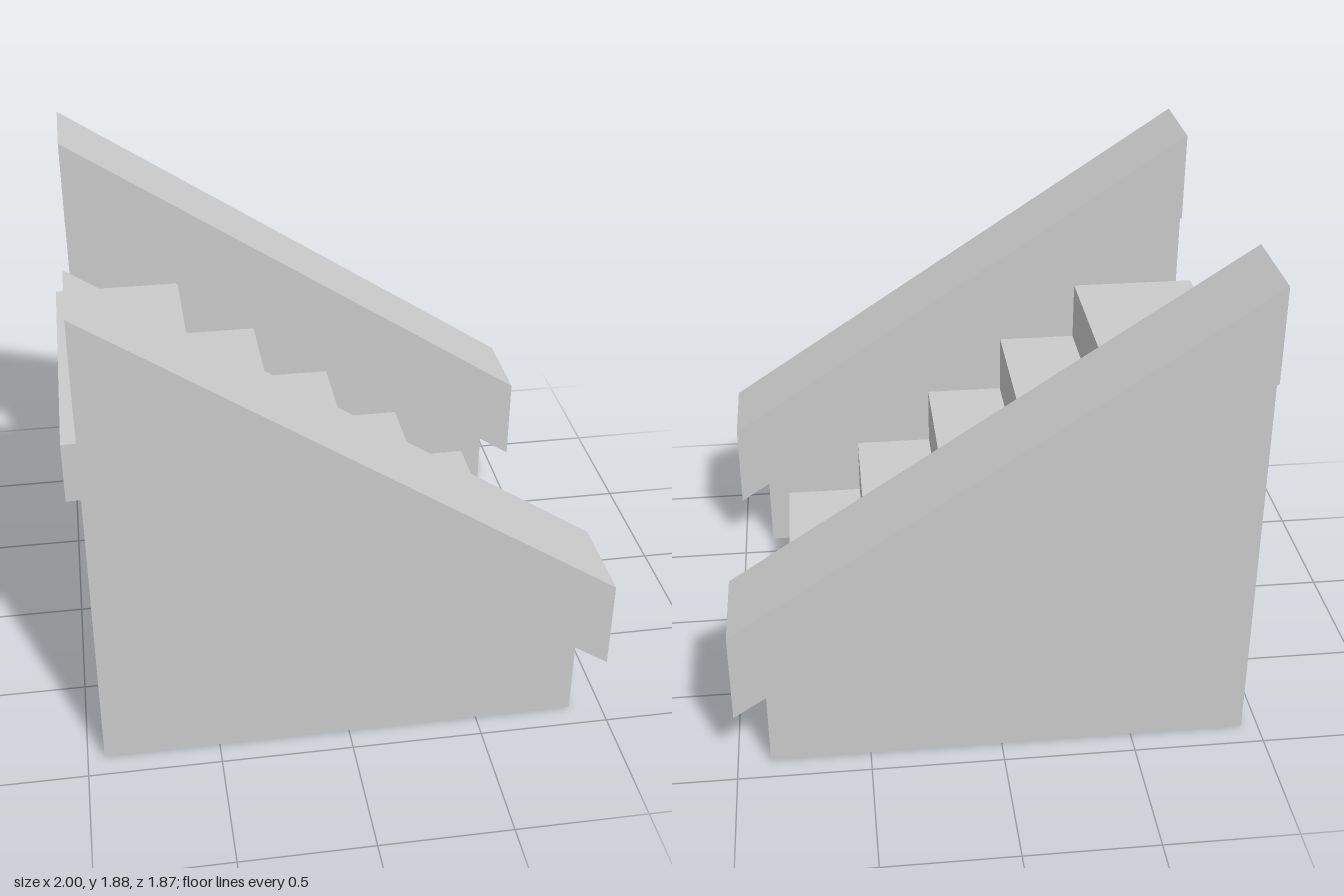
import * as THREE from 'three';

const material = new THREE.MeshStandardMaterial({ color: 0xcccccc, flatShading: true });

// Side profile in x/y, extruded along z from z0 to z1
function slab(name, points, z0, z1) {
  const shape = new THREE.Shape(points.map(([x, y]) => new THREE.Vector2(x, y)));
  const geometry = new THREE.ExtrudeGeometry(shape, { depth: z1 - z0, bevelEnabled: false });
  geometry.translate(0, 0, z0);
  const mesh = new THREE.Mesh(geometry, material);
  mesh.name = name;
  return mesh;
}

export function createModel() {
  const group = new THREE.Group();
  group.name = 'staircase';

  const wall = [[-0.937, 0], [0.877, 0], [0.877, 0.315], [-0.937, 1.518]];
  const rail = [[-0.937, 1.518], [1, 0.235], [1, 0.595], [-0.937, 1.88]];

  // Side walls with sloping, slightly wider rails on top
  for (const [side, s] of [['front', 1], ['back', -1]]) {
    const span = (a, b) => (s > 0 ? [a, b] : [-b, -a]);
    group.add(slab(side + 'Wall', wall, ...span(0.605, 0.905)));
    group.add(slab(side + 'Rail', rail, ...span(0.573, 0.933)));
  }

  // Five overlapping steps climbing toward -x
  const count = 5, height = 0.2425, depth = 0.51, run = 0.32;
  for (let i = 0; i < count; i++) {
    const step = new THREE.Mesh(new THREE.BoxGeometry(depth, height, 1.21), material);
    step.position.set(0.79 - depth / 2 - i * run, height * (i + 0.5), 0);
    step.name = 'step' + (i + 1);
    group.add(step);
  }

  return group;
}
